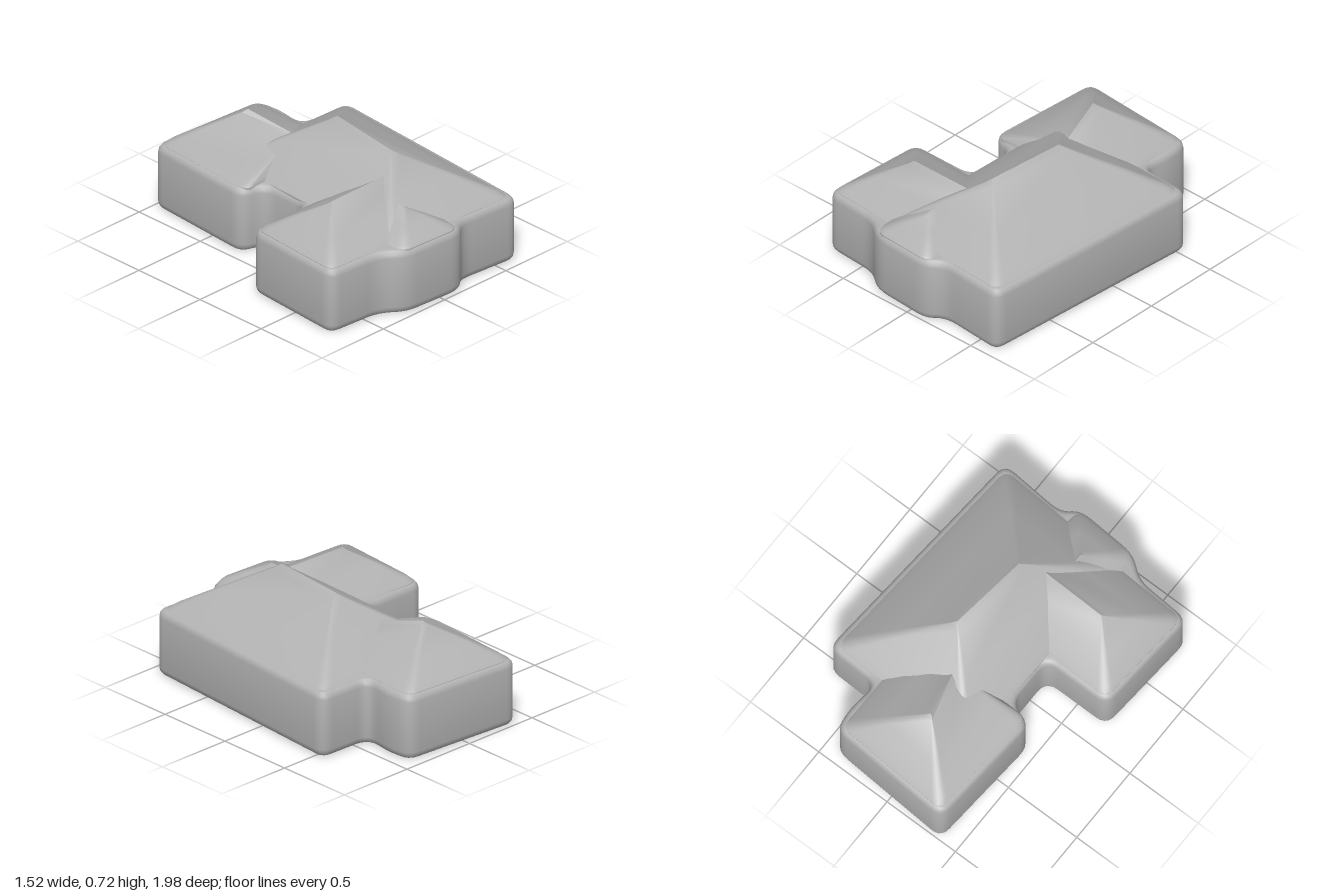
import * as THREE from 'three';
import { toCreasedNormals } from 'three/addons/utils/BufferGeometryUtils.js';

const grey = new THREE.MeshStandardMaterial({ color: 0xb2b2b2 });
grey.name = 'plain grey';

const WALL_TOP = 0.42;

// Closed outline of [x, z] corners, each rounded by up to r
function roundCorners(corners, r, steps = 5) {
  const out = [];
  corners.forEach((c, i) => {
    const p = new THREE.Vector2(...c);
    const ends = [corners.at(i - 1), corners[(i + 1) % corners.length]].map((n) => {
      const d = new THREE.Vector2(...n).sub(p);
      return p.clone().add(d.clone().setLength(Math.min(r, d.length() * 0.45)));
    });
    const curve = new THREE.QuadraticBezierCurve(ends[0], p, ends[1]);
    out.push(...curve.getPoints(steps));
  });
  return out;
}

function addMesh(group, name, geometry, crease) {
  const mesh = new THREE.Mesh(toCreasedNormals(geometry, crease), grey);
  mesh.name = name;
  group.add(mesh);
}

// Hipped roof over four corners (back left, back right, front right, front left);
// ridge gives the [x, y, z] point that each corner climbs to
function hippedRoof(corners, ridge) {
  const steps = 5;
  const outline = roundCorners(corners, 0.07, steps);
  const tops = outline.map((_, i) => new THREE.Vector3(...ridge[Math.floor(i / (steps + 1))]));
  // [share of the way to the ridge, extra height]
  const levels = [[0.07, -0.06], [0.07, 0], [0.14, 0.008], [0.5, 0.006], [0.93, -0.004], [1, 0]];
  const positions = [], index = [], n = outline.length;
  for (const [t, lift] of levels) {
    outline.forEach((p, i) => {
      const q = new THREE.Vector3(p.x, WALL_TOP, p.y).lerp(tops[i], t);
      const y = t <= 0.07 ? WALL_TOP + lift : WALL_TOP + (tops[i].y - WALL_TOP) * (t - 0.07) / 0.93 + lift;
      positions.push(q.x, y, q.z);
    });
  }
  for (let l = 0; l < levels.length - 1; l++) {
    for (let i = 0; i < n; i++) {
      const a = l * n + i, b = l * n + (i + 1) % n;
      index.push(a, a + n, b, b, a + n, b + n);
    }
  }
  const g = new THREE.BufferGeometry();
  g.setAttribute('position', new THREE.Float32BufferAttribute(positions, 3));
  g.setIndex(index);
  return g;
}

export function createModel() {
  const house = new THREE.Group();
  house.name = 'house';

  // Walls: one rounded footprint with soft top and bottom edges
  const footprint = roundCorners([
    [-0.39, -0.995], [0.42, -0.94], [0.44, -0.78], [0.41, -0.58], [0.765, -0.57],
    [0.655, 0.95], [0.22, 0.915], [0.13, 0.995], [-0.27, 0.97], [-0.4, 0.865],
    [-0.77, 0.84], [-0.72, 0.14], [-0.28, 0.14], [-0.28, -0.18], [-0.445, -0.23],
  ], 0.08);
  const shape = new THREE.Shape(footprint.map((p) => new THREE.Vector2(p.x, -p.y)));
  const walls = new THREE.ExtrudeGeometry(shape, {
    depth: 0.32, bevelThickness: 0.045, bevelSize: 0.035, bevelOffset: -0.035, bevelSegments: 3,
  });
  walls.rotateX(-Math.PI / 2);
  walls.translate(0, 0.055, 0);
  addMesh(house, 'walls', walls, 0.7);

  // Roofs: back and front ridge ends, or left and right for the side wing
  const mainBack = [0.2, 0.73, -0.08], mainFront = [0.14, 0.72, 0.42];
  const rearPeak = [-0.01, 0.655, -0.6], rearEnd = [0.06, 0.58, -0.3];
  const sideEnd = [-0.41, 0.62, 0.49], sideInner = [0.1, 0.63, 0.5];
  const bayBack = [-0.07, 0.55, 0.5], bayFront = [-0.07, 0.55, 0.73];
  const roofs = {
    mainRoof: [[[-0.28, -0.6], [0.765, -0.57], [0.655, 0.95], [-0.33, 0.89]],
      [mainBack, mainBack, mainFront, mainFront]],
    rearWingRoof: [[[-0.39, -0.995], [0.425, -0.94], [0.41, -0.2], [-0.445, -0.21]],
      [rearPeak, rearPeak, rearEnd, rearEnd]],
    sideWingRoof: [[[-0.72, 0.14], [0.25, 0.17], [0.22, 0.89], [-0.77, 0.84]],
      [sideEnd, sideInner, sideInner, sideEnd]],
    frontBayRoof: [[[-0.36, 0.45], [0.2, 0.45], [0.15, 0.995], [-0.3, 0.97]],
      [bayBack, bayBack, bayFront, bayFront]],
  };
  for (const [name, [corners, ridge]] of Object.entries(roofs)) {
    addMesh(house, name, hippedRoof(corners, ridge), 0.5);
  }
  return house;
}
